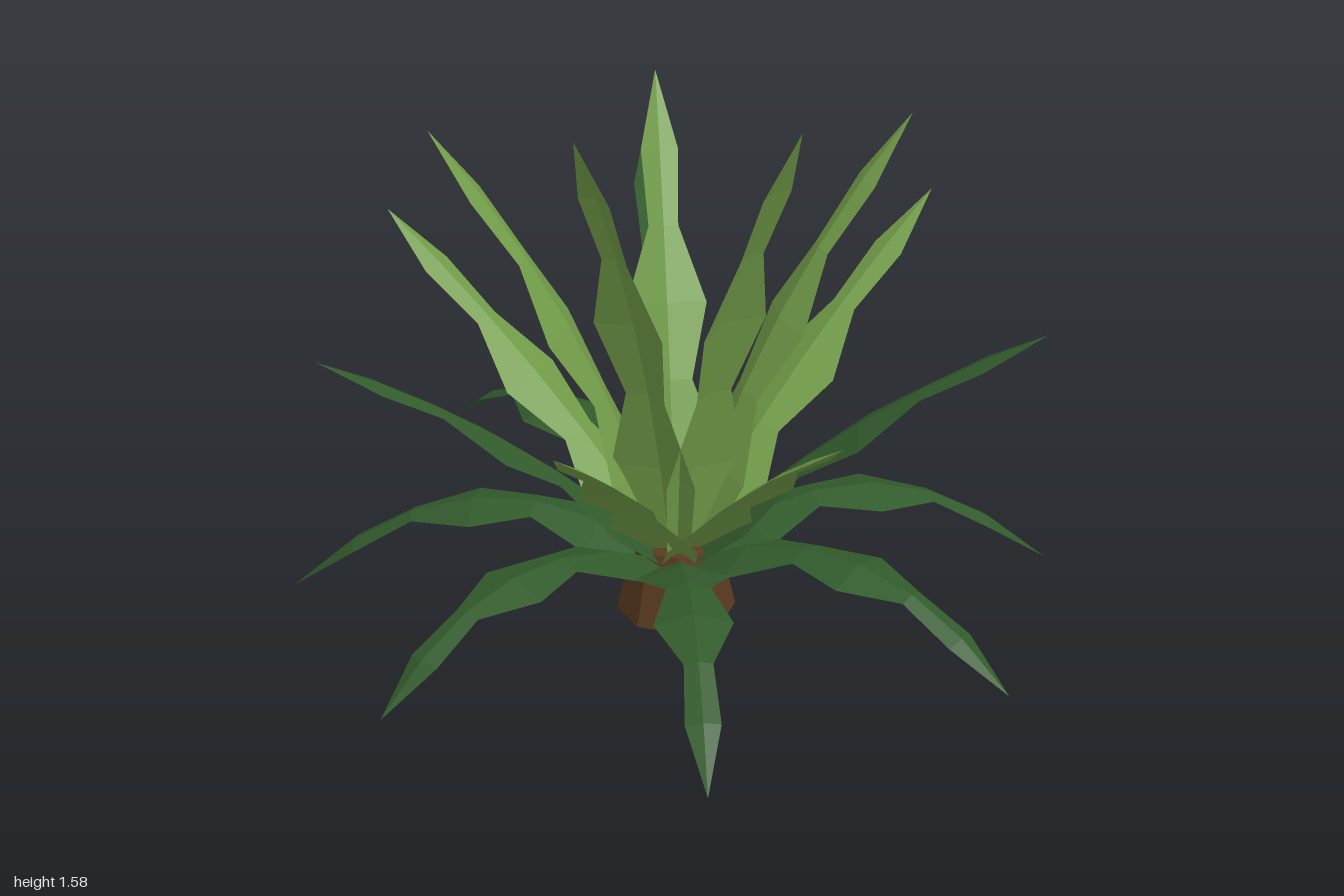
import * as THREE from 'three';

const darkGreen = new THREE.MeshStandardMaterial({ color: 0x325b2c, side: THREE.DoubleSide });
darkGreen.name = 'dark green';
const lightGreen = new THREE.MeshStandardMaterial({ color: 0x719b48, side: THREE.DoubleSide });
lightGreen.name = 'light green';
const brown = new THREE.MeshStandardMaterial({ color: 0x593a20 });
brown.name = 'bark brown';

// half widths from root to tip, and how far the edges droop below the midrib
const HALF_WIDTHS = [0.07, 0.122, 0.056, 0.1, 0.037, 0.046, 0];
const FOLD = 0.28;

// one creased blade growing along +z; root, mid and tip are [reach, height] of its midrib
function leafGeometry(root, mid, tip) {
  const start = new THREE.Vector2(...root);
  const end = new THREE.Vector2(...tip);
  const control = new THREE.Vector2(...mid).multiplyScalar(2)
    .addScaledVector(start, -0.5).addScaledVector(end, -0.5);
  const curve = new THREE.QuadraticBezierCurve(start, control, end);
  const steps = HALF_WIDTHS.length - 1;

  // three points across: right edge, raised midrib, left edge
  const rows = HALF_WIDTHS.map((w, i) => {
    const p = curve.getPoint(i / steps);
    const t = curve.getTangent(i / steps);
    return [-1, 0, 1].map((s) => {
      const droop = Math.abs(s) * w * FOLD;
      return [s * w, p.y - t.x * droop, p.x + t.y * droop];
    });
  });

  const positions = [];
  for (let i = 0; i < steps; i++) {
    for (let j = 0; j < 2; j++) {
      const a = rows[i][j], b = rows[i][j + 1], c = rows[i + 1][j + 1], d = rows[i + 1][j];
      positions.push(...a, ...c, ...b);
      if (i < steps - 1) positions.push(...a, ...d, ...c);
    }
  }
  const geometry = new THREE.BufferGeometry();
  geometry.setAttribute('position', new THREE.Float32BufferAttribute(positions, 3));
  geometry.computeVertexNormals();
  return geometry;
}

// each leaf: turn in fractions of a circle, middle, tip, material; mirrored to the other side
const TIERS = [
  {
    name: 'lowerLeaf', root: [0.03, 0.17], leaves: [
      [0, [0.58, 0.327], [1.05, 0.07], darkGreen],
      [1 / 7, [0.55, 0.317], [1.0, 0.085], darkGreen],
      [2 / 7, [0.51, 0.29], [0.955, 0.005], darkGreen],
      [3 / 7, [0.585, 0.32], [1.055, 0.06], darkGreen],
    ],
  },
  {
    name: 'middleLeaf', root: [0.03, 0.19], leaves: [
      [1 / 14, [0.39, 0.55], [0.835, 0.88], lightGreen],
      [3 / 14, [0.455, 0.58], [0.935, 0.875], darkGreen],
      [5 / 14, [0.42, 0.56], [0.865, 0.88], lightGreen],
      [1 / 2, [0.455, 0.59], [0.925, 0.9], darkGreen],
    ],
  },
  {
    name: 'upperLeaf', root: [0.03, 0.21], leaves: [
      [1 / 10, [0.2, 0.92], [0.485, 1.58], lightGreen],
      [3 / 10, [0.275, 0.79], [0.635, 1.295], lightGreen],
      [1 / 2, [0.29, 0.725], [0.685, 1.165], lightGreen],
    ],
  },
];

export function createModel() {
  const model = new THREE.Group();
  model.name = 'plant';
  model.position.z = -0.05;

  // tapered, faceted stump
  const stump = new THREE.CylinderGeometry(0.105, 0.147, 0.19, 8).toNonIndexed();
  stump.computeVertexNormals();
  const trunk = new THREE.Mesh(stump, brown);
  trunk.name = 'trunk';
  trunk.position.y = 0.123;
  model.add(trunk);

  // three whorls of leaves
  for (const { name, root, leaves } of TIERS) {
    for (const [turn, mid, tip, material] of leaves) {
      const geometry = leafGeometry(root, mid, tip);
      const sides = turn === 0 || turn === 0.5 ? [1] : [1, -1];
      for (const side of sides) {
        const leaf = new THREE.Mesh(geometry, material);
        leaf.name = name;
        leaf.rotation.y = side * turn * Math.PI * 2;
        model.add(leaf);
      }
    }
  }

  const group = new THREE.Group();
  group.add(model);
  return group;
}
